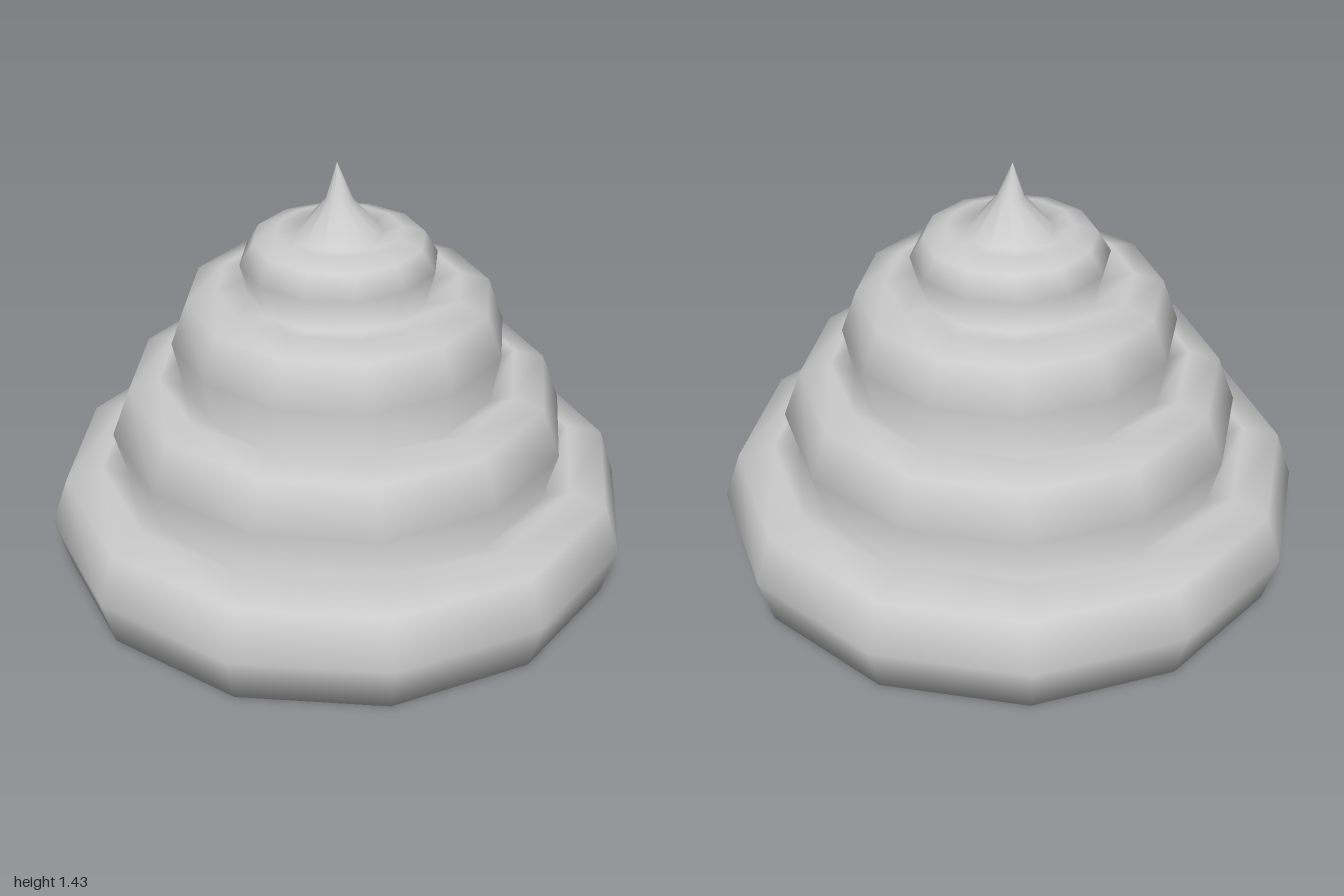
import * as THREE from 'three';

export function createModel() {
  const group = new THREE.Group();
  group.name = 'tieredSwirl';
  const material = new THREE.MeshStandardMaterial({ color: 0xcccccc });

  // Each tier bulges out, rounds over its top and dips into the groove below the next one
  const tiers = [
    [[0.95, 0], [1, 0.17], [0.945, 0.335], [0.82, 0.37]],
    [[0.73, 0.335], [0.775, 0.5], [0.715, 0.665], [0.61, 0.697]],
    [[0.53, 0.665], [0.563, 0.83], [0.51, 0.978], [0.41, 1.01]],
    [[0.3, 0.98], [0.33, 1.1], [0.285, 1.175], [0.21, 1.2]],
  ];
  // Pointed tip with a concave flare at its foot
  const tip = [[0.145, 1.19], [0.045, 1.31], [0, 1.435]];

  // Flat underside, tiers and tip share one smooth twelve-sided profile
  const profile = [[0, 0], ...tiers.flat(), ...tip].map(([r, y]) => new THREE.Vector2(r, y));
  const geometry = new THREE.LatheGeometry(profile, 12);

  // The very top leans slightly to the back
  const pos = geometry.attributes.position;
  for (let i = 0; i < pos.count; i++) {
    if (pos.getY(i) > 1.4) pos.setZ(i, -0.012);
  }

  const body = new THREE.Mesh(geometry, material);
  body.name = 'tiersAndTip';
  group.add(body);
  return group;
}
